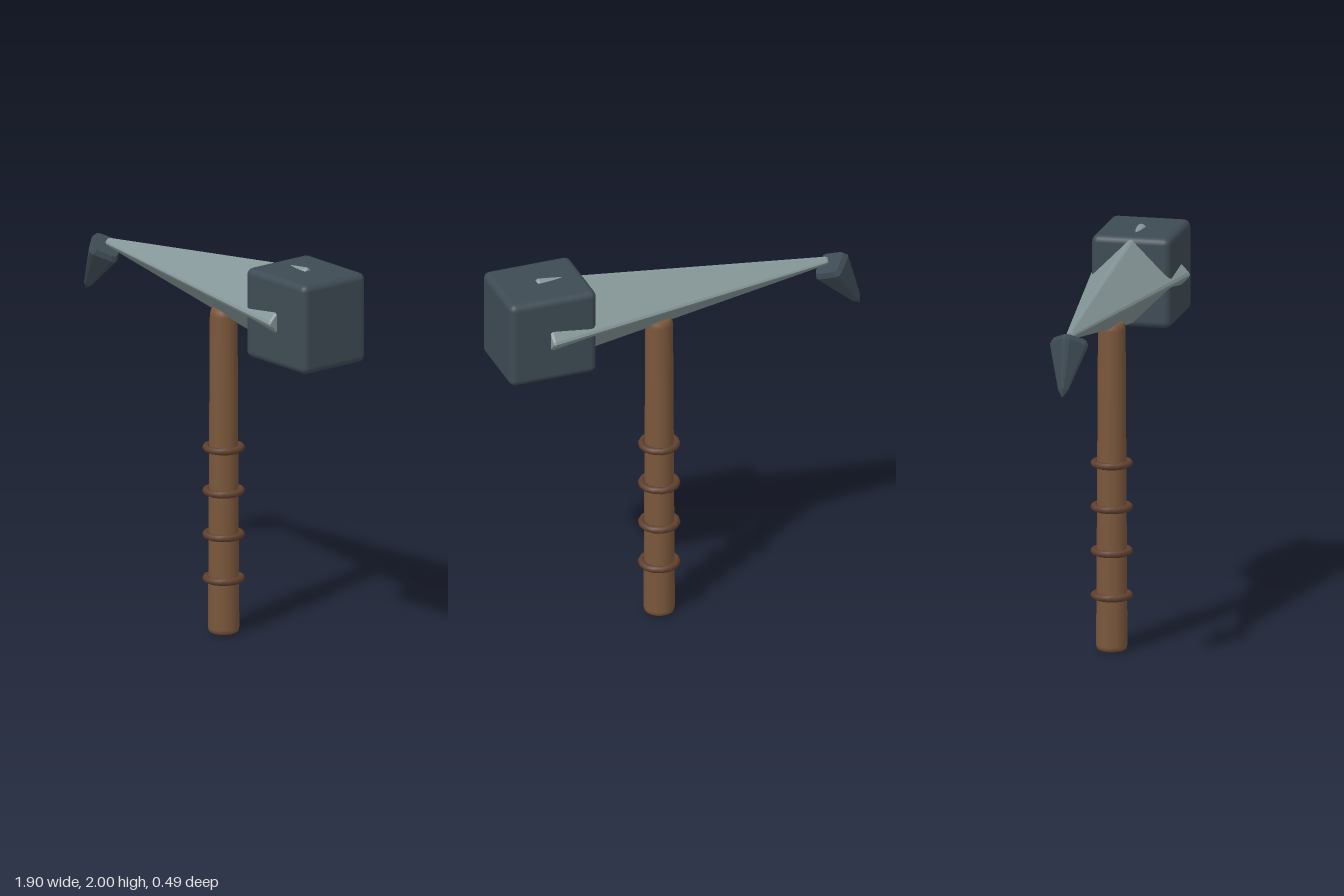
import * as THREE from 'three';
import { RoundedBoxGeometry } from 'three/addons/geometries/RoundedBoxGeometry.js';

const material = (color, flatShading = false) => new THREE.MeshStandardMaterial({ color, flatShading });

// Loft of diamond cross-sections along x; each section is [x, y, radius, bevel half-width]
function diamondLoft(sections) {
  const pos = [], index = [], n = 12;
  for (const [x, y, r, b] of sections) {
    for (let k = 0; k < 4; k++) {
      const c = Math.round(Math.cos(k * Math.PI / 2)), s = Math.round(Math.sin(k * Math.PI / 2));
      // each corner is blunted by three points
      for (const [out, side] of [[r - b * 0.5, -b], [r, 0], [r - b * 0.5, b]]) {
        pos.push(x, y + c * out - s * side, s * out + c * side);
      }
    }
  }
  for (let i = 0; i < sections.length - 1; i++) {
    for (let j = 0; j < n; j++) {
      const a = i * n + j, b = i * n + (j + 1) % n;
      index.push(a, b, a + n, b, b + n, a + n);
    }
  }
  const g = new THREE.BufferGeometry();
  g.setAttribute('position', new THREE.Float32BufferAttribute(pos, 3));
  g.setIndex(index);
  g.computeVertexNormals();
  return g;
}

export function createModel() {
  const model = new THREE.Group();
  model.name = 'warHammer';
  const add = (name, geometry, mat, x = 0, y = 0, z = 0) => {
    const mesh = new THREE.Mesh(geometry, mat);
    mesh.name = name;
    mesh.position.set(x, y, z);
    model.add(mesh);
    return mesh;
  };
  const darkSteel = material(0x3e4b54);
  const darkSteelFlat = material(0x3e4b54, true);
  const paleSteel = material(0x869799, true);
  const wood = material(0x7a573b);
  const leather = material(0x60402e);

  // Handle: slightly tapered shaft with rounded ends
  const profile = [
    [0, 0.005], [0.062, 0.005], [0.073, 0.012], [0.077, 0.03],
    [0.068, 1.62], [0.063, 1.645], [0.052, 1.658], [0, 1.66],
  ].map(([x, y]) => new THREE.Vector2(x, y));
  add('handle', new THREE.LatheGeometry(profile, 20), wood, 0.095);

  // Grip rings
  const ring = new THREE.TorusGeometry(0.087, 0.018, 8, 14).rotateX(Math.PI / 2);
  [0.28, 0.503, 0.725, 0.945].forEach((y, i) => add('gripRing' + (i + 1), ring, leather, 0.095, y));

  // Hammer block
  add('hammerBlock', new RoundedBoxGeometry(0.455, 0.455, 0.4, 3, 0.035), darkSteel, 0.72, 1.757);

  // Long tapered spike running through the block
  add('spike', diamondLoft([
    [-0.785, 1.795, 0, 0],
    [-0.785, 1.795, 0.017, 0.006],
    [-0.775, 1.795, 0.023, 0.008],
    [0.725, 1.755, 0.245, 0.014],
    [0.738, 1.755, 0.238, 0.012],
    [0.738, 1.755, 0, 0],
  ]), paleSteel);

  // Down-turned beak at the thin end
  const beak = add('beak', diamondLoft([
    [0, 0, 0, 0],
    [0, 0, 0.084, 0.018],
    [0.028, 0, 0.097, 0.02],
    [0.262, 0, 0.026, 0.007],
    [0.302, 0, 0, 0],
  ]), darkSteelFlat, -0.796, 1.778);
  beak.rotation.z = -2.13;

  return model;
}
